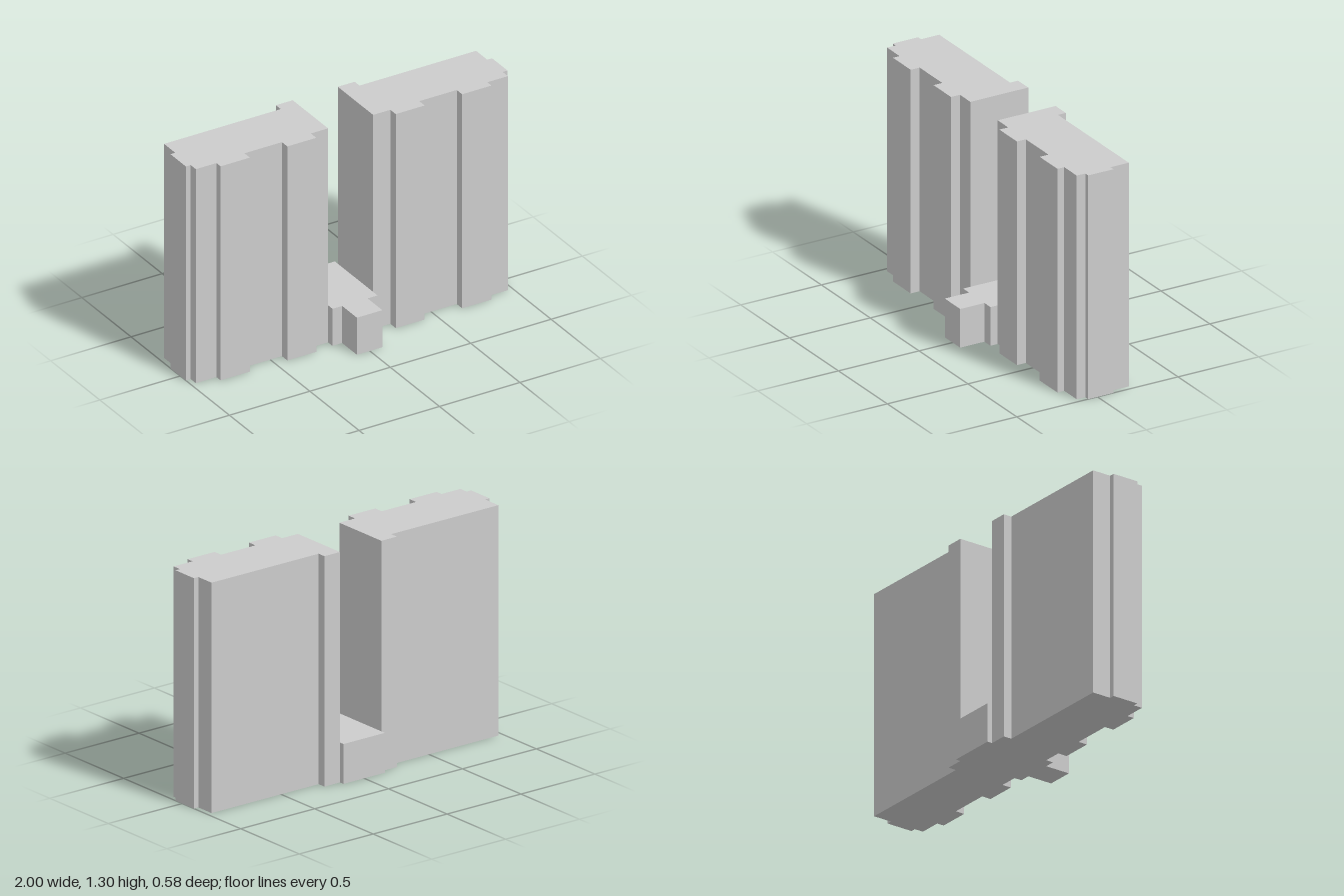
import * as THREE from 'three';

const material = new THREE.MeshStandardMaterial({ color: 0xcccccc, flatShading: true });

// Raises a floor plan of [x, z] corners from the ground to the given height
function raisePlan(name, plan, height) {
  const shape = new THREE.Shape(plan.map(([x, z]) => new THREE.Vector2(x, -z)));
  const geometry = new THREE.ExtrudeGeometry(shape, { depth: height, bevelEnabled: false });
  geometry.rotateX(-Math.PI / 2);
  const mesh = new THREE.Mesh(geometry, material);
  mesh.name = name;
  return mesh;
}

const mirrorPlan = (plan) => plan.map(([x, z]) => [-x, z]);

export function createModel() {
  const group = new THREE.Group();
  group.name = 'twinTowerBuilding';

  // Tower plan: stepped back, narrow end bay, two projecting front bays
  const towerPlan = [
    [0.14, -0.262], [0.245, -0.262], [0.245, -0.213], [0.97, -0.213],
    [0.97, -0.1], [1, -0.1], [1, 0.057], [0.97, 0.057],
    [0.97, 0.11], [0.842, 0.11], [0.842, 0.152], [0.66, 0.152],
    [0.66, 0.097], [0.427, 0.097], [0.427, 0.152], [0.247, 0.152],
    [0.247, 0.097], [0.14, 0.097],
  ];
  group.add(raisePlan('leftTower', towerPlan, 1.3));
  group.add(raisePlan('rightTower', mirrorPlan(towerPlan), 1.3));

  // Low link between the towers with a projecting front entrance
  const lobbyPlan = [
    [-0.14, -0.292], [0.14, -0.292], [0.14, 0.142], [0.078, 0.142],
    [0.078, 0.292], [-0.08, 0.292], [-0.08, 0.142], [-0.14, 0.142],
  ];
  group.add(raisePlan('entranceLobby', lobbyPlan, 0.225));

  return group;
}
